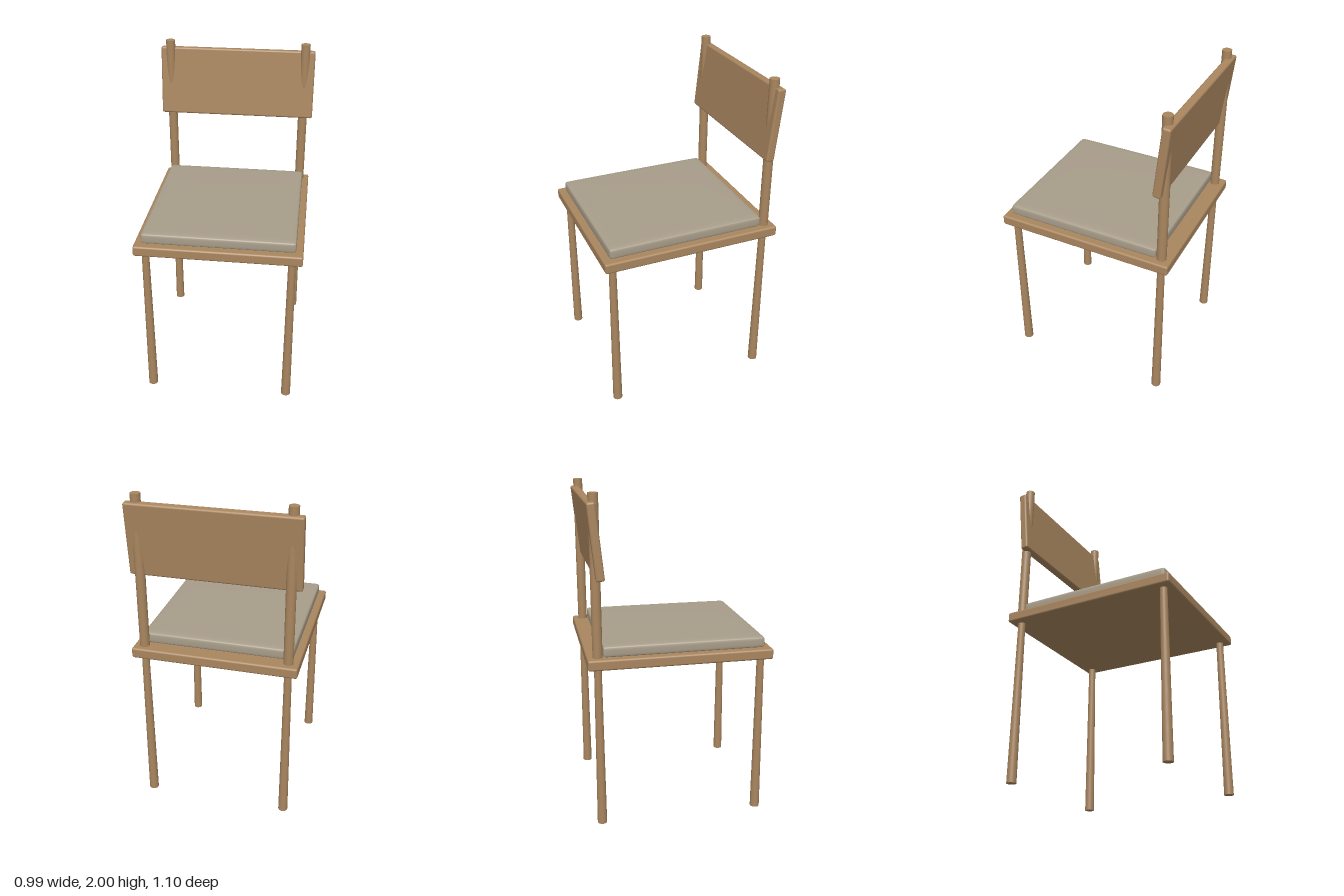
import * as THREE from 'three';
import { mergeVertices } from 'three/addons/utils/BufferGeometryUtils.js';
import { RoundedBoxGeometry } from 'three/addons/geometries/RoundedBoxGeometry.js';

// Softly rounded pad whose top swells slightly towards the middle
function padGeometry(w, h, d, r, swell) {
  const geo = new THREE.BoxGeometry(2, 2, 2, 20, 8, 20);
  geo.deleteAttribute('uv');
  geo.deleteAttribute('normal');
  const half = new THREE.Vector3(w / 2, h / 2, d / 2);
  const inner = half.clone().subScalar(r);
  const pos = geo.attributes.position;
  const p = new THREE.Vector3();
  const core = new THREE.Vector3();
  const ease = (u) => Math.sin((u * Math.PI) / 2); // packs vertices near the edges
  for (let i = 0; i < pos.count; i++) {
    const u = pos.getX(i), v = pos.getY(i), t = pos.getZ(i);
    p.set(ease(u), ease(v), ease(t)).multiply(half);
    core.copy(p).clamp(inner.clone().negate(), inner);
    p.sub(core).setLength(r).add(core);
    if (v > 0) p.y += swell * v * (1 - u * u) * (1 - t * t);
    pos.setXYZ(i, p.x, p.y, p.z);
  }
  const merged = mergeVertices(geo, 1e-5);
  merged.computeVertexNormals();
  return merged;
}

export function createModel() {
  const model = new THREE.Group();
  model.name = 'chair';

  const wood = new THREE.MeshStandardMaterial({ color: 0xa9865f });
  wood.name = 'wood';
  const fabric = new THREE.MeshStandardMaterial({ color: 0xa89d8a });
  fabric.name = 'fabric';

  const add = (name, geometry, material, x, y, z) => {
    const mesh = new THREE.Mesh(geometry, material);
    mesh.name = name;
    mesh.position.set(x, y, z);
    model.add(mesh);
    return mesh;
  };

  // Seat board and cushion
  add('seatBoard', new RoundedBoxGeometry(0.994, 0.064, 1.104, 3, 0.012), wood, 0, 1.037, 0);
  add('cushion', padGeometry(0.91, 0.066, 0.97, 0.016, 0.007), fabric, 0, 1.101, 0.025);

  // Legs taper upwards; back posts carry on above the seat
  const leg = new THREE.CylinderGeometry(0.022, 0.029, 1.01, 32);
  const post = new THREE.CylinderGeometry(0.029, 0.029, 0.96, 32);
  for (const side of [1, -1]) {
    const label = side > 0 ? 'left' : 'right';
    const x = side * 0.434;
    add(label + 'FrontLeg', leg, wood, x, 0.505, 0.491);
    add(label + 'BackLeg', leg, wood, x, 0.505, -0.49);
    add(label + 'BackPost', post, wood, x, 1.52, -0.49);
  }

  // Backrest leans back through the posts
  const back = add('backrest', new RoundedBoxGeometry(0.994, 0.434, 0.05, 3, 0.012), wood, 0, 1.737, -0.488);
  back.rotation.x = -0.1;

  return model;
}
